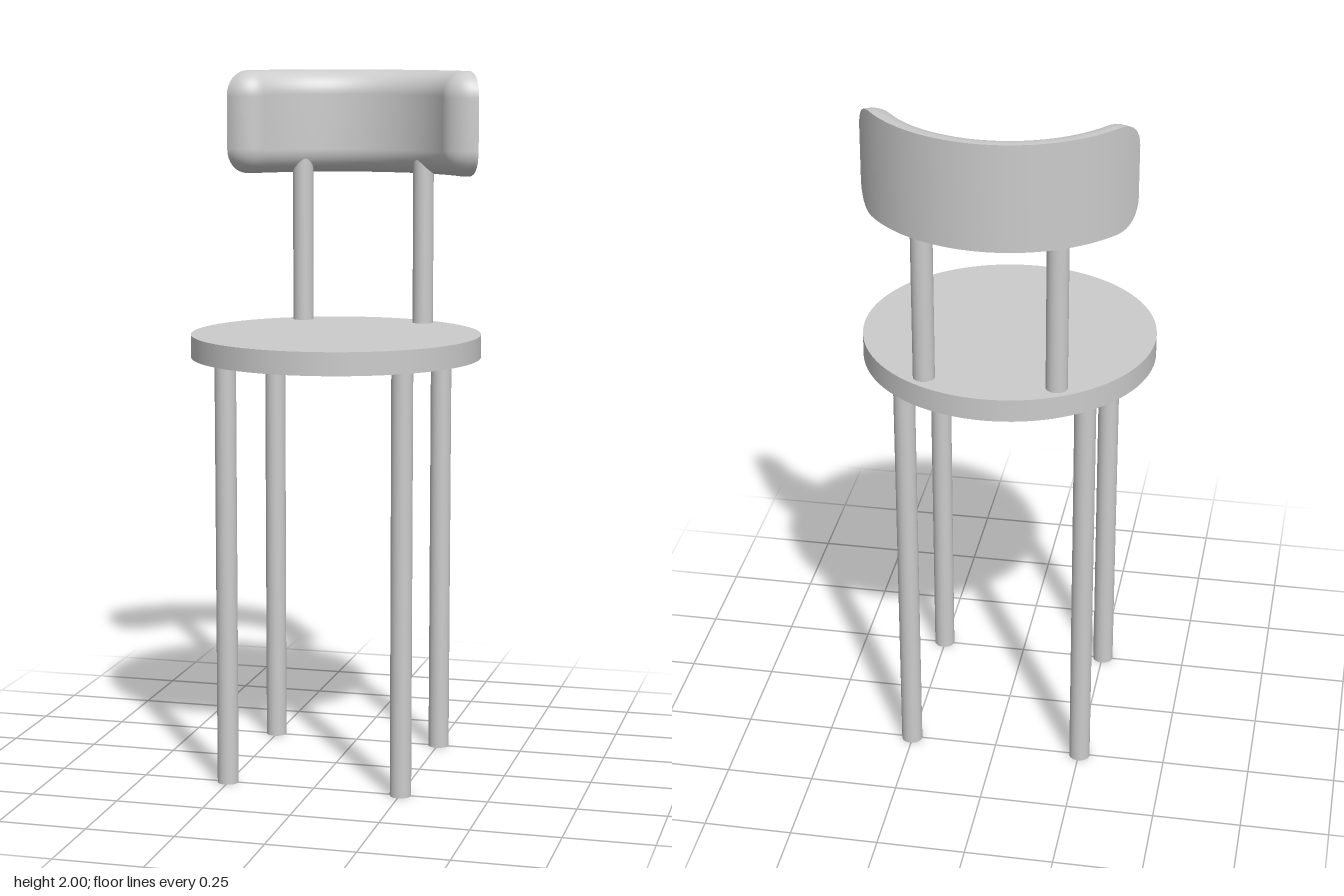
import * as THREE from 'three';

const material = new THREE.MeshStandardMaterial({ color: 0xcccccc });

// Upright cylinder between two heights
function rod(name, radius, x, z, y0, y1, segments = 32) {
  const mesh = new THREE.Mesh(new THREE.CylinderGeometry(radius, radius, y1 - y0, segments), material);
  mesh.position.set(x, (y0 + y1) / 2, z);
  mesh.name = name;
  return mesh;
}

// Curved pad: rounded rectangle wrapped around the seat's axis, with its inner edges filleted
function backrestGeometry() {
  const outer = 0.412, inner = 0.328, fillet = 0.07, corner = 0.075;
  const wrap = 0.37, halfLength = 1.133 * wrap, halfHeight = 0.15, midY = 1.85;
  const arcSteps = 8, straightSteps = 48;
  const positions = [], indices = [];

  // Adds one loop of points: top half from one end to the other, then the mirrored bottom half
  function addLoop(radius, inset) {
    const start = positions.length / 3;
    const L = halfLength - inset, H = halfHeight - inset, c = corner - inset;
    const top = [];
    for (let i = 0; i <= arcSteps; i++) {
      const a = (i / arcSteps) * Math.PI / 2;
      top.push([L - c + c * Math.cos(a), H - c + c * Math.sin(a)]);
    }
    for (let i = 1; i < straightSteps; i++) top.push([(L - c) * (1 - 2 * i / straightSteps), H]);
    for (let i = 0; i <= arcSteps; i++) {
      const a = (1 + i / arcSteps) * Math.PI / 2;
      top.push([-(L - c) + c * Math.cos(a), H - c + c * Math.sin(a)]);
    }
    const bottom = top.map(([s, y]) => [s, -y]).reverse();
    for (const [s, y] of [...top, ...bottom]) {
      const t = s / wrap;
      positions.push(radius * Math.sin(t), midY + y, -radius * Math.cos(t));
    }
    return start;
  }
  const half = 2 * arcSteps + 1 + straightSteps, count = 2 * half;

  // Fills a loop by joining each top point to the one below it
  function addFace(start, facesOut) {
    for (let i = 0; i < half - 1; i++) {
      const a = start + i, b = start + i + 1;
      const c = start + count - 2 - i, d = start + count - 1 - i;
      if (facesOut) indices.push(a, d, c, a, c, b);
      else indices.push(a, c, d, a, b, c);
    }
  }

  // Outer face has its own points so its rim stays sharp
  addFace(addLoop(outer, 0), true);
  let previous = addLoop(outer, 0);
  const steps = 10;
  for (let k = 0; k <= steps; k++) {
    const a = (k / steps) * Math.PI / 2;
    const next = addLoop(inner + fillet * (1 - Math.sin(a)), fillet * (1 - Math.cos(a)));
    for (let i = 0; i < count; i++) {
      const j = (i + 1) % count;
      indices.push(previous + i, previous + j, next + j, previous + i, next + j, next + i);
    }
    previous = next;
  }
  addFace(previous, false);

  const geometry = new THREE.BufferGeometry();
  geometry.setAttribute('position', new THREE.Float32BufferAttribute(positions, 3));
  geometry.setIndex(indices);
  geometry.computeVertexNormals();
  return geometry;
}

export function createModel() {
  const chair = new THREE.Group();
  chair.name = 'chair';

  // Round seat
  chair.add(rod('seat', 0.412, 0, 0, 1.2, 1.265, 96));

  for (const [side, sx] of [['left', 1], ['right', -1]]) {
    // Legs
    chair.add(rod(side + 'FrontLeg', 0.03, sx * 0.252, 0.252, 0, 1.2));
    chair.add(rod(side + 'BackLeg', 0.03, sx * 0.252, -0.252, 0, 1.2));
    // Posts holding the backrest
    chair.add(rod(side + 'BackPost', 0.03, sx * 0.182, -0.315, 1.265, 1.8));
  }

  // Curved backrest
  const backrest = new THREE.Mesh(backrestGeometry(), material);
  backrest.name = 'backrest';
  chair.add(backrest);

  return chair;
}
